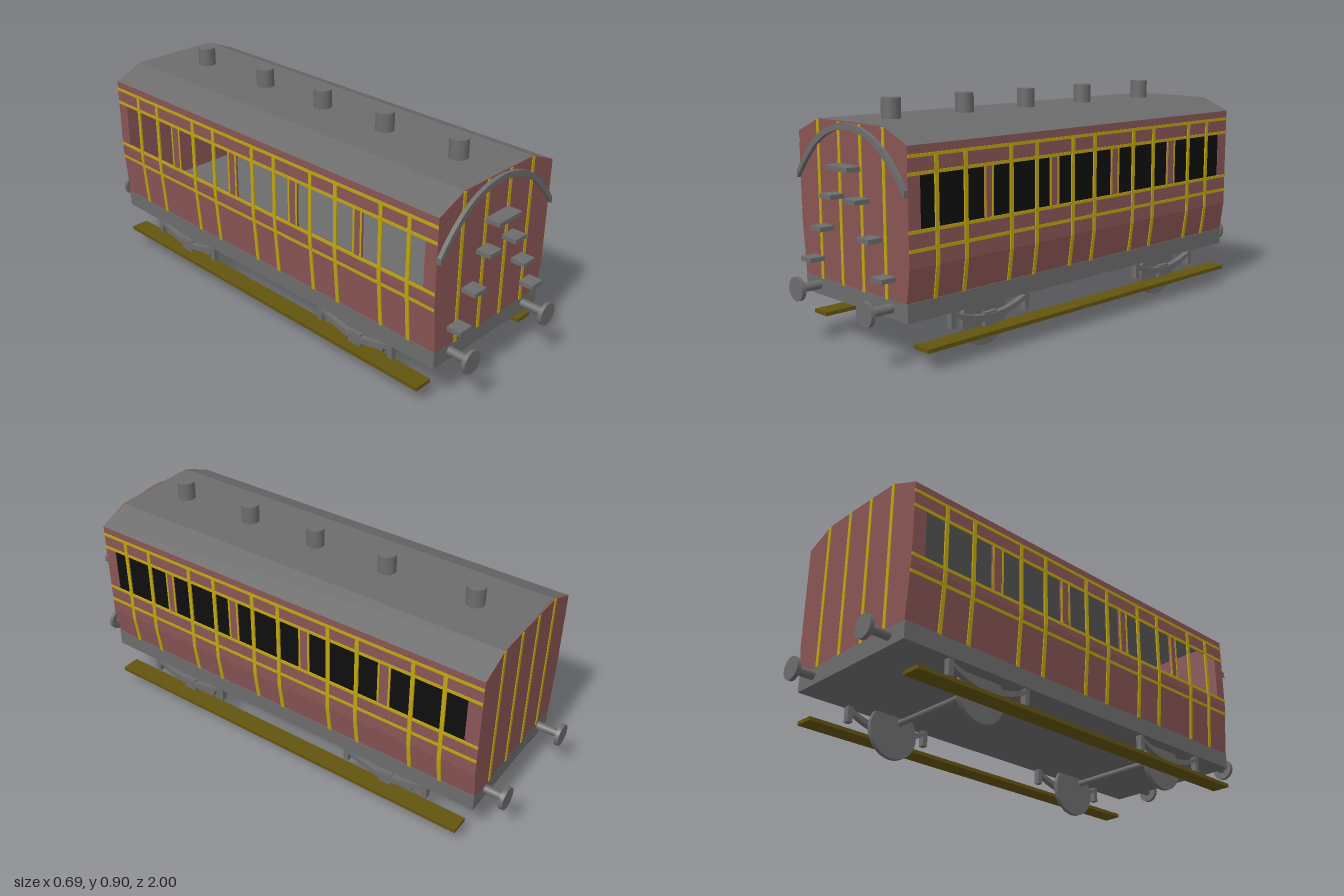
import * as THREE from 'three';
import { mergeGeometries } from 'three/addons/utils/BufferGeometryUtils.js';

const XC = -0.0105;                 // centre line of the body
const Z0 = -0.895, Z1 = 0.885;      // body ends
const SIDES = [
  { s: 1, bottom: 0.295, wall: 0.312, knee: 0.36 },
  { s: -1, bottom: -0.315, wall: -0.333, knee: 0.455 },
];

export function createModel() {
  const root = new THREE.Group();
  root.name = 'railwayCoach';
  const mat = (name, color) => {
    const m = new THREE.MeshStandardMaterial({ color });
    m.name = name;
    return m;
  };
  const maroon = mat('maroon', 0x8a5555);
  const grey = mat('grey', 0x6c6c6c);
  const gold = mat('gold', 0xbea512);
  const olive = mat('olive', 0x63540e);
  const black = mat('black', 0x0e0e0e);

  const add = (name, material, geos) => {
    const list = [].concat(geos);
    const mesh = new THREE.Mesh(list.length > 1 ? mergeGeometries(list) : list[0], material);
    mesh.name = name;
    root.add(mesh);
  };
  // Box given by its limits
  const box = (x0, x1, y0, y1, z0, z1) =>
    new THREE.BoxGeometry(x1 - x0, y1 - y0, z1 - z0)
      .translate((x0 + x1) / 2, (y0 + y1) / 2, (z0 + z1) / 2);
  const extrude = (pts, depth, z) =>
    new THREE.ExtrudeGeometry(new THREE.Shape(pts.map(p => new THREE.Vector2(...p))),
      { depth, bevelEnabled: false }).translate(0, 0, z);
  const cylX = (r, x0, x1, y, z, n = 32) =>
    new THREE.CylinderGeometry(r, r, x1 - x0, n).rotateZ(Math.PI / 2).translate((x0 + x1) / 2, y, z);
  const cylZ = (r, x, y, z0, z1) =>
    new THREE.CylinderGeometry(r, r, z1 - z0, 28).rotateX(Math.PI / 2).translate(x, y, (z0 + z1) / 2);

  // Panel that follows the tumblehome of a side wall, split at its knee
  const sidePanel = (side, y0, y1, z0, z1, inner, outer) => {
    const cuts = y0 < side.knee && y1 > side.knee ? [y0, side.knee, y1] : [y0, y1];
    const geos = [];
    for (let i = 0; i < cuts.length - 1; i++) {
      const g = side.s > 0 ? box(inner, outer, cuts[i], cuts[i + 1], z0, z1)
        : box(-outer, -inner, cuts[i], cuts[i + 1], z0, z1);
      const p = g.attributes.position;
      for (let k = 0; k < p.count; k++) {
        const t = Math.min(1, (p.getY(k) - 0.24) / (side.knee - 0.24));
        p.setX(k, p.getX(k) + side.bottom + (side.wall - side.bottom) * t);
      }
      g.computeVertexNormals();
      geos.push(g);
    }
    return geos;
  };

  // Underframe and floor
  add('underframe', grey, box(-0.317, 0.298, 0.172, 0.24, Z0, Z1));

  // Roof
  const roofLine = [[0.312, 0.775], [0.185, 0.828], [XC, 0.83], [-0.205, 0.828], [-0.333, 0.775]];
  add('roof', grey, extrude(roofLine, Z1 - Z0 - 0.004, Z0 + 0.002));

  // End walls
  const endOutline = [[-0.333, 0.455], [-0.315, 0.24], [0.295, 0.24], [0.312, 0.36], ...roofLine];
  add('frontWall', maroon, extrude(endOutline, 0.008, Z1 - 0.008));
  add('backWall', maroon, extrude(endOutline, 0.008, Z0));

  // Gold strips on both ends
  const endStrips = [];
  for (const x of [-0.205, -0.075, 0.053, 0.185]) {
    endStrips.push(box(x - 0.0075, x + 0.0075, 0.236, 0.826, Z1, Z1 + 0.003));
    endStrips.push(box(x - 0.0075, x + 0.0075, 0.236, 0.826, Z0 - 0.003, Z0));
  }
  add('endStrips', gold, endStrips);

  // Side walls with window openings and gold beading
  const windows = [[0.549, 0.833], [0.222, 0.506], [-0.12, 0.174], [-0.474, -0.169], [-0.839, -0.528]];
  const doorLines = [0.764, 0.635, 0.42, 0.292, 0.099, -0.024, -0.255, -0.383, -0.619, -0.748];
  const W0 = 0.488, W1 = 0.678;
  for (const side of SIDES) {
    const name = side.s > 0 ? 'left' : 'right';
    const walls = [
      ...sidePanel(side, 0.24, W0, Z0 + 0.002, Z1 - 0.002, -0.008, 0),
      ...sidePanel(side, W1, 0.775, Z0 + 0.002, Z1 - 0.002, -0.008, 0),
    ];
    let top = Z1 - 0.002;
    for (const [a, b] of [...windows, [0, Z0 + 0.002]]) {
      walls.push(...sidePanel(side, W0, W1, b, top, -0.008, 0));
      top = a;
    }
    add(name + 'Wall', maroon, walls);

    const trim = [];
    for (const y of [0.74, 0.68, 0.485, 0.421])
      trim.push(...sidePanel(side, y - 0.006, y + 0.006, Z0, Z1, -0.002, 0.003));
    for (const z of doorLines)
      trim.push(...sidePanel(side, 0.238, 0.74, z - 0.008, z + 0.008, -0.002, 0.004));
    windows.forEach(([a, b], i) => {
      if (i < 4) trim.push(...sidePanel(side, W0, W1, a - 0.008, a, -0.002, 0.002));
      if (i > 0) trim.push(...sidePanel(side, W0, W1, b, b + 0.008, -0.002, 0.002));
    });
    add(name + 'Beading', gold, trim);
  }

  // Dark glass, on the left side only
  add('windowGlass', black, windows.map(([a, b]) =>
    new THREE.PlaneGeometry(b - a, W1 - W0).rotateY(Math.PI / 2)
      .translate(0.309, (W0 + W1) / 2, (a + b) / 2)));

  // Roof lamps
  add('roofLamps', grey, [0.705, 0.36, 0.035, -0.297, -0.673].map(z =>
    new THREE.CylinderGeometry(0.036, 0.036, 0.085, 28).translate(XC, 0.8625, z)));

  // Curved rib over the front end
  const half = [[0.3225, 0.602], [0.278, 0.685], [0.195, 0.763], [0.1, 0.81]];
  const arc = (pts, n) => new THREE.CatmullRomCurve3(
    pts.map(([x, y]) => new THREE.Vector3(x, y, 0))).getPoints(n).map(v => [v.x, v.y]);
  const mirror = (pts, peak) => [
    ...pts.map(([x, y]) => [XC + x, y]), [XC, peak],
    ...pts.slice().reverse().map(([x, y]) => [XC - x, y])];
  const outerArc = arc(mirror([[0.3225, 0.628], ...half.slice(1)], 0.826), 32);
  const innerArc = arc(mirror([half[0], [0.262, 0.673], [0.184, 0.744], [0.094, 0.789]], 0.803), 32);
  add('frontRib', grey, extrude([...outerArc, ...innerArc.reverse()], 0.016, Z1));

  // Climbing steps on the front end
  const steps = [[-0.077, 0.053, 0.672]];
  for (const [x, y] of [[0.072, 0.565], [0.14, 0.44], [0.208, 0.315]])
    for (const s of [-1, 1]) steps.push([XC + s * x * 1.03 - 0.0325, XC + s * x * 1.03 + 0.0325, y]);
  add('endSteps', grey, steps.map(([a, b, y]) => box(a, b, y - 0.0085, y + 0.0085, 0.86, 0.945)));

  // Buffers
  for (const [x, front, back] of [[-0.232, 0.987, -1], [0.208, 1, -0.987]]) {
    const name = x > 0 ? 'left' : 'right';
    add(name + 'FrontBuffer', grey, [cylZ(0.017, x, 0.21, Z1 - 0.01, front - 0.01), cylZ(0.045, x, 0.21, front - 0.016, front)]);
    add(name + 'BackBuffer', grey, [cylZ(0.017, x, 0.21, back + 0.01, Z0 + 0.01), cylZ(0.045, x, 0.21, back, back + 0.016)]);
  }

  // Wheels, axles, springs and axle boxes
  const spring = new THREE.Shape();
  spring.moveTo(-0.18, 0.168);
  spring.quadraticCurveTo(0, 0.085, 0.18, 0.168);
  spring.lineTo(0.18, 0.152);
  spring.quadraticCurveTo(0, 0.05, -0.18, 0.152);
  for (const z of [0.497, -0.506]) {
    const end = z > 0 ? 'front' : 'back';
    add(end + 'Axle', grey, cylX(0.0125, -0.21, 0.195, 0.133, z, 16));
    add(end + 'Wheels', grey, [cylX(0.108, -0.265, -0.247, 0.108, z), cylX(0.108, 0.232, 0.25, 0.108, z)]);
    const gear = [];
    for (const x of [-0.31, 0.264]) {
      gear.push(new THREE.ExtrudeGeometry(spring, { depth: 0.024, bevelEnabled: false, curveSegments: 10 })
        .rotateY(Math.PI / 2).translate(x, 0, z).toNonIndexed());
      for (const d of [-0.19, 0.168])
        gear.push(box(x, x + 0.024, 0.108, 0.175, z + d, z + d + 0.022).toNonIndexed());
      gear.push(box(x + 0.003, x + 0.021, 0.08, 0.135, z - 0.03, z + 0.03).toNonIndexed());
    }
    add(end + 'Springs', grey, gear.map(g => (g.index ? g.toNonIndexed() : g)));
  }

  // Footboards
  add('rightFootboard', olive, box(-0.347, -0.27, 0.068, 0.083, -0.855, 0.838));
  add('leftFootboard', olive, box(0.268, 0.345, 0.068, 0.083, -0.855, 0.838));

  return root;
}
